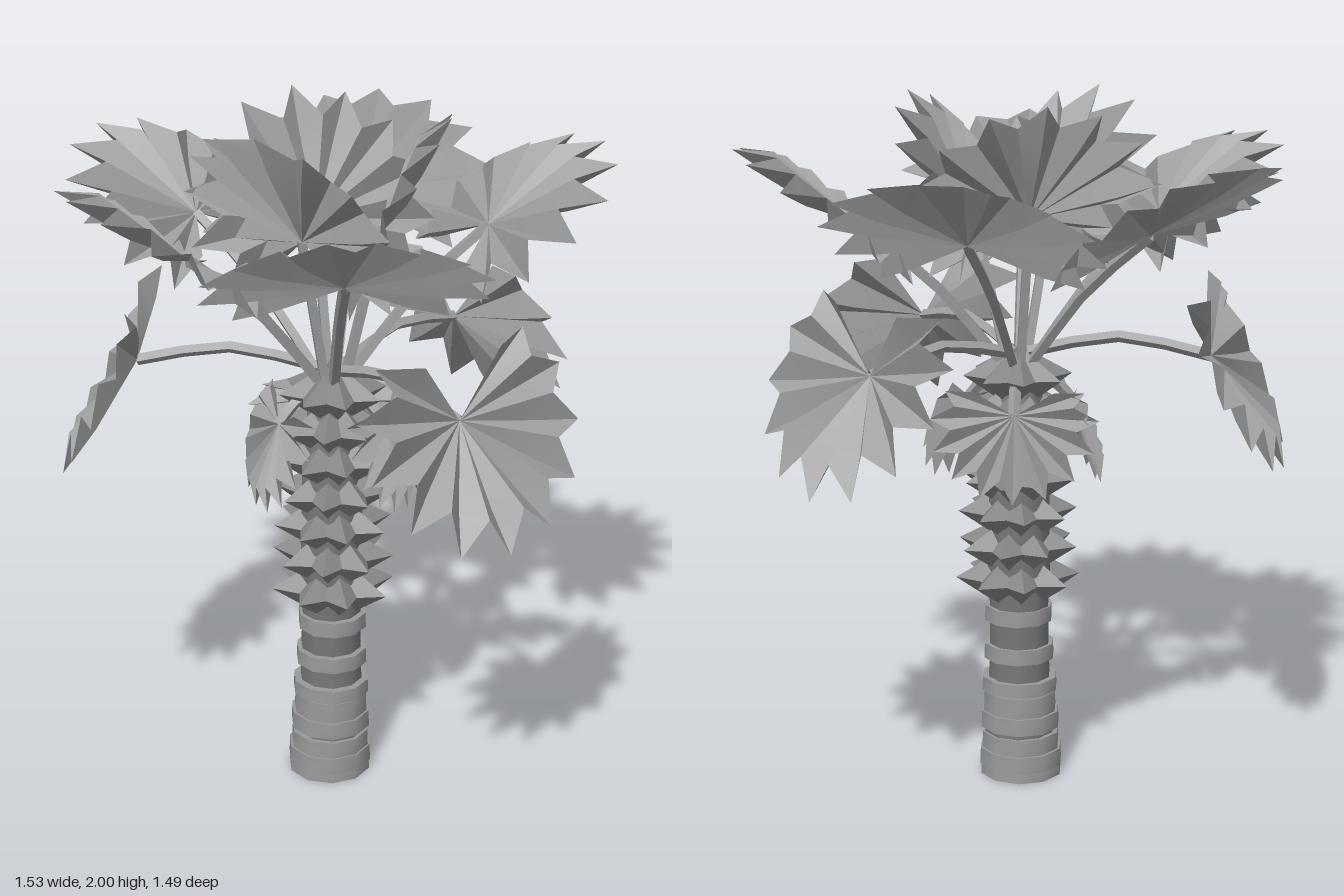
import * as THREE from 'three';
import { toCreasedNormals } from 'three/addons/utils/BufferGeometryUtils.js';

const CX = 0.022, CZ = 0.025; // crown axis
const paint = color => new THREE.MeshStandardMaterial({ color, side: THREE.DoubleSide });
const leafPaint = paint(0xa0a0a0), barkPaint = paint(0x777777), ringPaint = paint(0x999999), bootPaint = paint(0x888888);
const rad = THREE.MathUtils.degToRad;

function add(parent, name, geometry, material) {
  const mesh = new THREE.Mesh(toCreasedNormals(geometry, 0.7), material);
  mesh.name = name;
  parent.add(mesh);
  return mesh;
}

// Pleated fan blade: x runs along the middle finger, y is the upper side.
// Each finger is a trough whose raised edges meet its neighbours at the notches.
function fanGeometry(R, fingers, spread, cup) {
  const pos = [];
  const point = (t, r, y) => {
    const a = t * spread; // t goes from -1 to 1 across the fan
    const len = r * R * (1 - 0.3 * t ** 6);
    return [Math.cos(a) * len, y * R + cup * t * t * r, Math.sin(a) * len];
  };
  const hub = [0, 0, 0];
  for (let i = 0; i < fingers; i++) {
    const t0 = -1 + (2 * i) / fingers, t1 = -1 + (2 * (i + 1)) / fingers, tm = (t0 + t1) / 2;
    const notch0 = point(t0, 0.74, 0.12), notch1 = point(t1, 0.74, 0.12);
    const keel = point(tm, 0.66, -0.02), tip = point(tm, 1, 0);
    for (const [a, b, c] of [[hub, keel, notch0], [keel, tip, notch0], [hub, notch1, keel], [keel, notch1, tip]])
      pos.push(...a, ...b, ...c);
  }
  const g = new THREE.BufferGeometry();
  g.setAttribute('position', new THREE.Float32BufferAttribute(pos, 3));
  return g;
}

// Leaf = arched stalk from the trunk plus a fan at the hub
function addLeaf(parent, name, { angle, reach, y, elev, R, fingers = 11, spread = 132, cup = 0, rootY = 1.22, arch = 0.04 }) {
  const A = rad(angle), E = rad(elev), c = Math.cos(A), s = Math.sin(A);
  const hub = new THREE.Vector3(CX + c * reach, y, CZ + s * reach);
  const leaf = new THREE.Group();
  leaf.name = name;
  const root = new THREE.Vector3(CX + c * 0.03, rootY, CZ + s * 0.03);
  const mid = root.clone().lerp(hub, 0.5);
  mid.y += arch;
  const curve = new THREE.CatmullRomCurve3([root, mid, hub]);
  add(leaf, 'stalk', new THREE.TubeGeometry(curve, 4, 0.017, 4), leafPaint);
  const blade = add(leaf, 'fanBlade', fanGeometry(R, fingers, rad(spread), cup), leafPaint);
  const basis = new THREE.Matrix4().makeBasis(
    new THREE.Vector3(c * Math.cos(E), Math.sin(E), s * Math.cos(E)),
    new THREE.Vector3(-c * Math.sin(E), Math.cos(E), -s * Math.sin(E)),
    new THREE.Vector3(-s, 0, c));
  blade.quaternion.setFromRotationMatrix(basis);
  blade.position.copy(hub);
  parent.add(leaf);
}

export function createModel() {
  const palm = new THREE.Group();
  palm.name = 'fanPalm';

  // Trunk core, tapering to a point inside the crown
  const profile = [[0, 0.01], [0.112, 0.01], [0.102, 0.15], [0.092, 0.3], [0.087, 0.5], [0.094, 0.6], [0.09, 0.9], [0.07, 1.15], [0, 1.3]];
  add(palm, 'trunk', new THREE.LatheGeometry(profile.map(p => new THREE.Vector2(...p)), 10), barkPaint).position.set(0.016, 0, CZ);

  // Raised bark rings, stacked closely at the base
  const rings = [[0.015, 0.122, 0.03], [0.055, 0.124, 0.05], [0.105, 0.116, 0.05], [0.17, 0.118, 0.05],
    [0.225, 0.109, 0.06], [0.28, 0.113, 0.04], [0.38, 0.105, 0.045], [0.495, 0.101, 0.045]];
  for (const [y, r, h] of rings)
    add(palm, 'barkRing', new THREE.CylinderGeometry(r * 0.985, r, h, 10), ringPaint).position.set(0.012 + y * 0.02, y, CZ + 0.003);

  // Staggered rows of pointed leaf bases
  for (let row = 0; row < 7; row++) {
    const y = 0.6 + row * 0.1, n = 8, r = 0.115 - 0.004 * row;
    for (let i = 0; i < n; i++) {
      const a = ((i + (row % 2) * 0.5) / n) * Math.PI * 2;
      const boot = add(palm, 'leafBase', new THREE.ConeGeometry(0.082, 0.13, 4, 1), bootPaint);
      // Each pyramid points outward with one corner straight up
      const out = new THREE.Vector3(Math.cos(a), 0.05, Math.sin(a)).normalize();
      const side = new THREE.Vector3(-Math.sin(a), 0, Math.cos(a));
      boot.quaternion.setFromRotationMatrix(new THREE.Matrix4().makeBasis(side, out, side.clone().cross(out)));
      boot.position.set(CX + Math.cos(a) * r, y, CZ + Math.sin(a) * r);
    }
  }

  // Short hanging skirt leaves
  for (const angle of [130, 235, 350])
    addLeaf(palm, 'skirtLeaf', { angle, reach: 0.16, y: 1.12, elev: -74, R: 0.25, spread: 120, cup: -0.03, rootY: 1.2, arch: 0.03 });

  // Drooping lower leaves
  for (const [angle, reach] of [[19, 0.53], [152, 0.55], [280, 0.53]])
    addLeaf(palm, 'lowerLeaf', { angle, reach, y: 1.28, elev: -56, R: 0.38, spread: 138, cup: 0.09, rootY: 1.27, arch: 0.05 });

  // Wide upper ring of leaves
  for (const [angle, reach] of [[54, 0.42], [121, 0.43], [179, 0.45], [248, 0.46], [312, 0.45]])
    addLeaf(palm, 'upperLeaf', { angle, reach, y: 1.65, elev: 32, R: 0.4, cup: -0.05 });

  // Upright crown leaves
  for (const angle of [98, 217, 337])
    addLeaf(palm, 'crownLeaf', { angle, reach: 0.13, y: 1.67, elev: 60, R: 0.381, cup: -0.05, arch: 0 });

  return palm;
}
